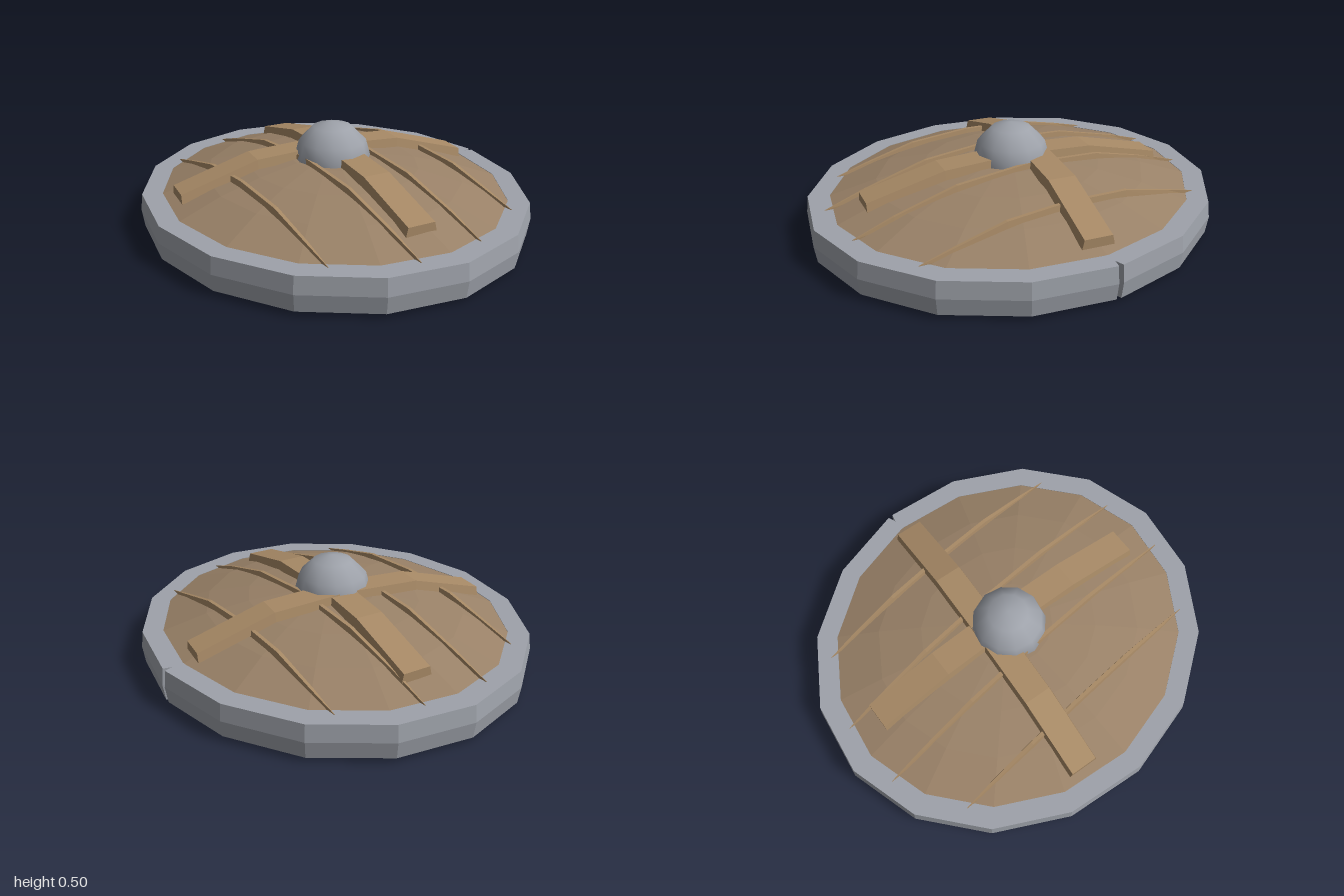
import * as THREE from 'three';

const RX = 0.91, RZ = 1.0; // oval half-widths
const wood = 0x9a8268, plankWood = 0xa88a66, metal = 0x9ea2aa, gripWood = 0x9c7458;

function part(name, geometry, color, flatShading = true) {
  const mesh = new THREE.Mesh(geometry, new THREE.MeshStandardMaterial({ color, flatShading }));
  mesh.name = name;
  return mesh;
}

// Skins a row of equal-length closed cross-sections; the ends are capped or joined.
function loft(sections, joined = false) {
  const n = sections[0].length, count = sections.length, index = [];
  for (let i = 0; i < (joined ? count : count - 1); i++) {
    const a = i * n, b = ((i + 1) % count) * n;
    for (let j = 0; j < n; j++) {
      const k = (j + 1) % n;
      index.push(a + j, b + j, a + k, a + k, b + j, b + k);
    }
  }
  if (!joined) {
    const e = (count - 1) * n;
    for (let j = 1; j < n - 1; j++) index.push(0, j, j + 1, e, e + j + 1, e + j);
  }
  const g = new THREE.BufferGeometry();
  g.setAttribute('position', new THREE.Float32BufferAttribute(sections.flat(2), 3));
  g.setIndex(index);
  g.computeVertexNormals();
  return g;
}

// Dome outline as [fraction of the oval radius, height]
const domeProfile = [[0, 0.337], [0.22, 0.327], [0.44, 0.297], [0.66, 0.25], [0.885, 0.178], [0.94, 0.155]];

function domeHeight(x, z) {
  const r = Math.hypot(x / RX, z / RZ);
  for (let i = 1; i < domeProfile.length; i++) {
    const [r0, y0] = domeProfile[i - 1], [r1, y1] = domeProfile[i];
    if (r <= r1) return y0 + (y1 - y0) * (r - r0) / (r1 - r0);
  }
  return 0.155;
}

// Shallow recessed back, chamfered edge and domed front
function makeBody() {
  const points = [[0, 0.055], [0.8, 0.012], [0.87, 0], [0.93, 0.025], ...domeProfile.slice().reverse()]
    .map(([r, y]) => new THREE.Vector2(r, y));
  const g = new THREE.LatheGeometry(points, 16);
  g.scale(RX, 1, RZ);
  return part('domedBody', g, wood);
}

// Sixteen-sided band with a small split on the +x side
function makeRim() {
  const stops = [[-0.012, 1], [0, 0.955], [0.012, 1]];
  for (let i = 1; i < 16; i++) stops.push([i * Math.PI / 8, 1]);
  const profile = [[0.885, 0.18], [0.99, 0.18], [1, 0.1], [0.988, 0.02], [0.885, 0.02]];
  const sections = stops.map(([a, s]) => profile.map(([r, y]) => {
    const f = r > 0.9 ? r * s : r;
    return [RX * f * Math.cos(a), y, RZ * f * Math.sin(a)];
  }));
  return part('metalRim', loft(sections, true), metal);
}

// Bent plank over the dome with slightly sloping sides
function makePlank(name, [x0, z0], [x1, z1], endTop) {
  const length = Math.hypot(x1 - x0, z1 - z0);
  const nx = -(z1 - z0) / length, nz = (x1 - x0) / length;
  const tops = [endTop, 0.352, 0.372, 0.352, endTop];
  const sections = tops.map((y, i) => {
    const x = x0 + (x1 - x0) * i / 4, z = z0 + (z1 - z0) * i / 4;
    return [[-0.076, -0.044], [0.076, -0.044], [0.066, 0], [-0.066, 0]]
      .map(([s, h]) => [x + nx * s, y + h, z + nz * s]);
  });
  return part(name, loft(sections), plankWood);
}

// Thin raised seam following the dome, pointed at both ends: [position, half-width, rise]
function makeSeam(x, reach) {
  const stops = [[-1, 0.002, 0.002], [-0.78, 0.014, 0.012], [-0.43, 0.018, 0.026], [0, 0.018, 0.026],
    [0.43, 0.018, 0.026], [0.78, 0.014, 0.012], [1, 0.002, 0.002]];
  const sections = stops.map(([t, w, rise]) => {
    const z = t * reach, y = Math.max(domeHeight(x, z), 0.18);
    return [[x + w, y - 0.025, z], [x - w, y - 0.025, z], [x - w * 0.5, y + rise, z], [x + w * 0.5, y + rise, z]];
  });
  return part('boardSeam', loft(sections), plankWood);
}

export function createModel() {
  const group = new THREE.Group();
  group.name = 'roundShield';
  group.add(makeBody(), makeRim());
  group.add(makePlank('crossPlank', [-0.725, -0.2], [0.755, 0.01], 0.24));
  group.add(makePlank('longPlank', [0.105, -0.745], [-0.045, 0.745], 0.26));
  for (const [x, reach] of [[-0.49, 0.72], [-0.16, 0.89], [0.17, 0.875], [0.505, 0.715]]) group.add(makeSeam(x, reach));

  // Central boss
  const boss = part('boss', new THREE.SphereGeometry(0.187, 12, 6), metal, false);
  boss.position.y = 0.315;
  group.add(boss);

  // Grip across the back
  const grip = part('backGrip', new THREE.CapsuleGeometry(0.035, 0.46, 4, 10), gripWood, false);
  grip.rotation.set(0, -0.15, Math.PI / 2);
  grip.position.y = 0.037;
  group.add(grip);
  return group;
}
